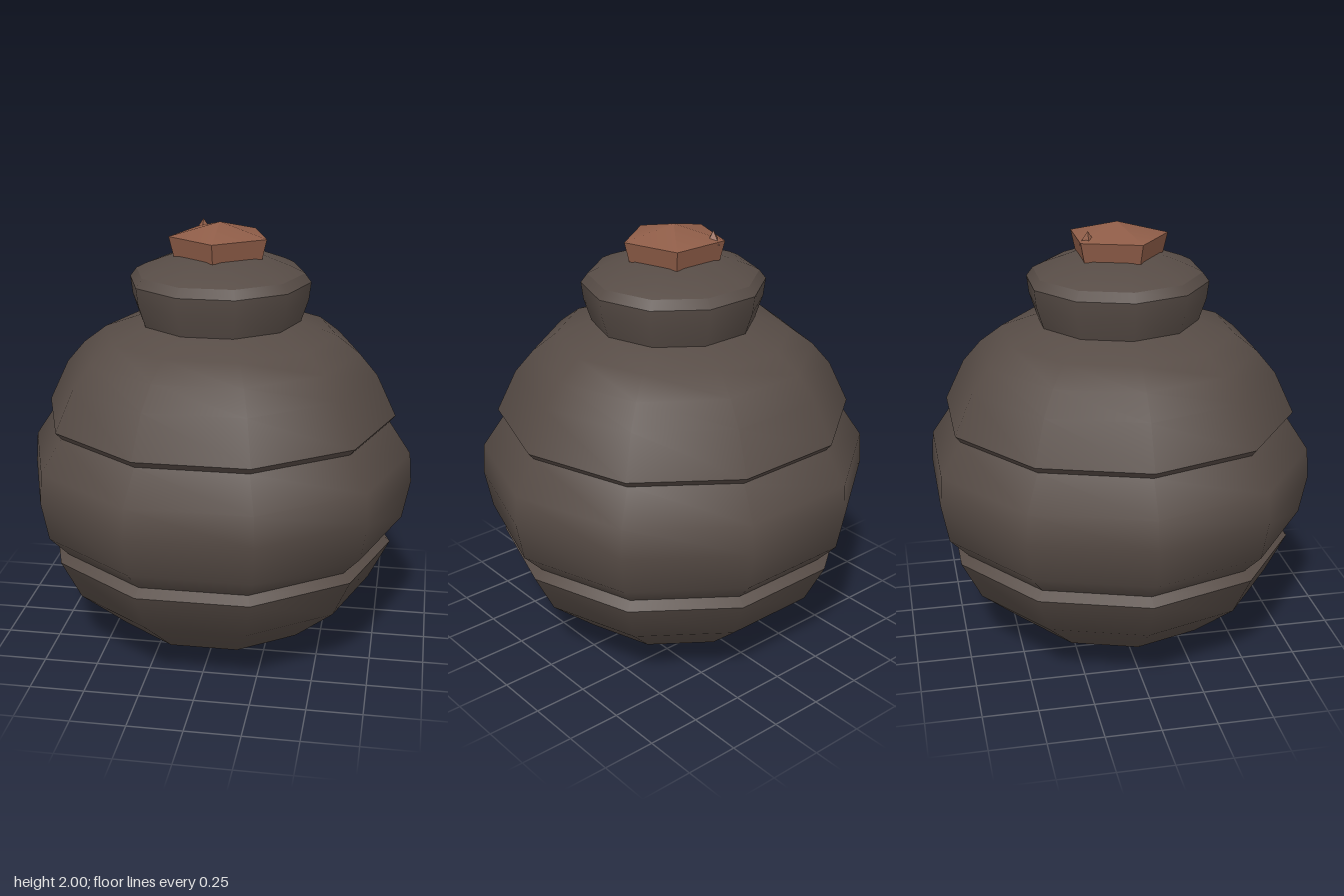
import * as THREE from 'three';

const clay = new THREE.MeshStandardMaterial({ color: 0x574c46 });
clay.name = 'dark clay';
const cork = new THREE.MeshStandardMaterial({ color: 0x8f5d48 });
cork.name = 'brown stopper';

const SIDES = 10;

export function createModel() {
  const group = new THREE.Group();
  group.name = 'clayJar';

  const add = (name, geometry, material) => {
    const mesh = new THREE.Mesh(geometry, material);
    mesh.name = name;
    group.add(mesh);
    return mesh;
  };
  // Ten-sided ring, corners on the x axis; smooth inside a part, sharp between parts
  const ring = (name, profile) => add(name, new THREE.LatheGeometry(
    profile.map(([r, y]) => new THREE.Vector2(r, y)), SIDES, Math.PI / SIDES), clay);

  // Body, from the base upward
  ring('lowerBowl', [[0, 0.005], [0.28, 0.035], [0.5, 0.12], [0.72, 0.31], [0.815, 0.5]]);
  ring('lowerLedge', [[0.815, 0.5], [0.775, 0.535]]);
  ring('belly', [[0.775, 0.535], [0.865, 0.63], [0.9, 0.81], [0.89, 0.95], [0.79, 1.1]]);
  ring('shoulderLip', [[0.79, 1.1], [0.815, 1.13]]);
  ring('shoulder', [[0.815, 1.13], [0.725, 1.32], [0.64, 1.42], [0.535, 1.5], [0.37, 1.56]]);

  // Neck and its bevelled rim
  ring('neck', [[0.37, 1.555], [0.405, 1.66], [0.415, 1.74]]);
  ring('neckRim', [[0.415, 1.74], [0.385, 1.78]]);
  ring('neckTop', [[0.385, 1.78], [0.335, 1.805], [0.2, 1.855], [0, 1.86]]);

  // Five-sided stopper with a low pointed top
  const block = new THREE.CylinderGeometry(0.232, 0.21, 0.09, 5, 1, true).toNonIndexed();
  block.computeVertexNormals();
  add('stopper', block, cork).position.y = 1.895;
  add('stopperBase', new THREE.CircleGeometry(0.21, 5, -Math.PI / 2)
    .rotateX(Math.PI / 2), cork).position.y = 1.85;
  add('stopperTop', new THREE.ConeGeometry(0.232, 0.06, 5, 1, true), cork).position.y = 1.97;

  // Small chip standing on the back of the stopper
  const chip = new THREE.ConeGeometry(0.04, 0.06, 4).toNonIndexed();
  chip.computeVertexNormals();
  add('stopperChip', chip, cork).position.set(-0.1, 1.955, -0.15);

  return group;
}
